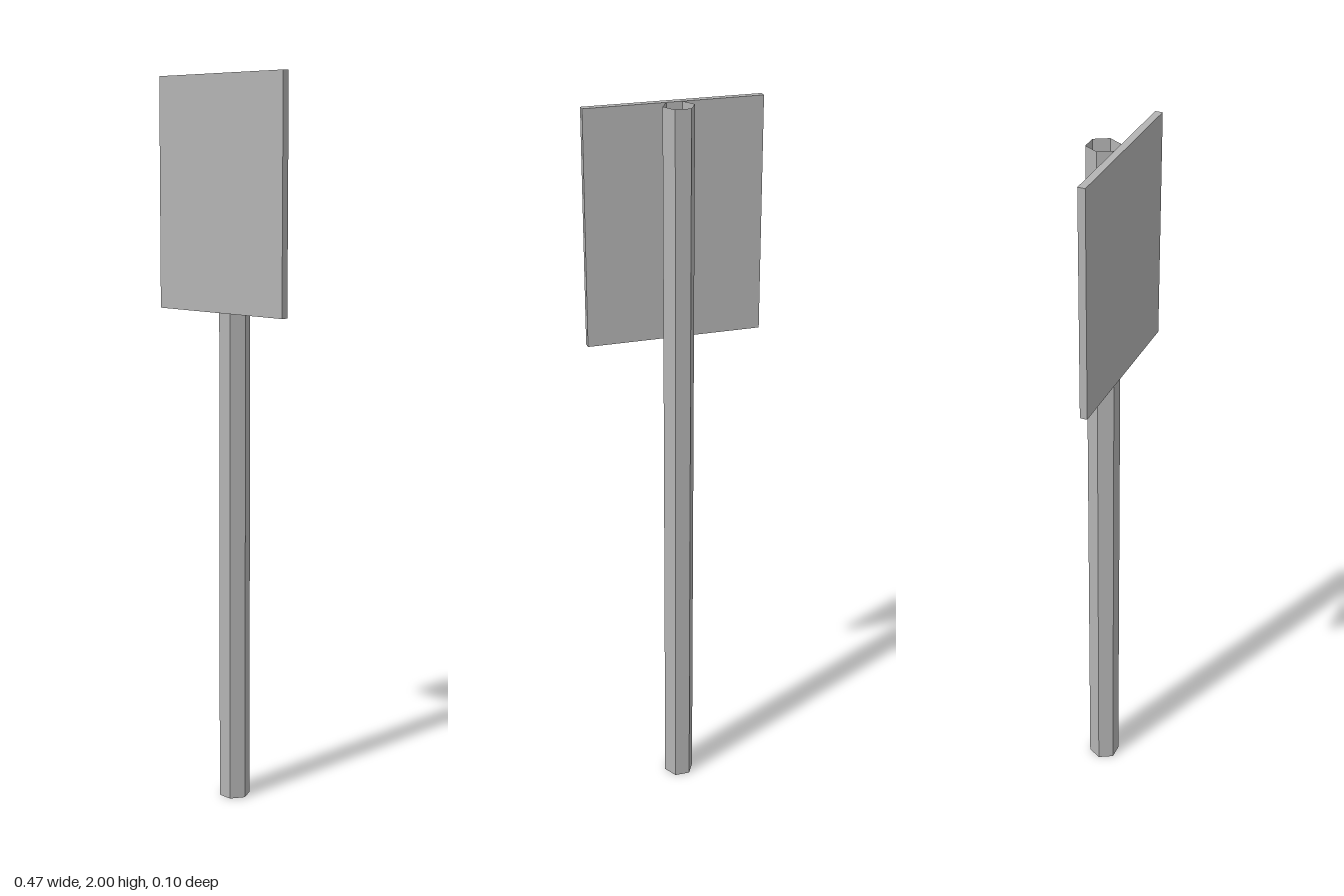
import * as THREE from 'three';

export function createModel() {
  const group = new THREE.Group();
  const grey = new THREE.MeshStandardMaterial({
    name: 'grey metal', color: 0xb4b4b4, flatShading: true, side: THREE.DoubleSide,
  });

  // Open six-sided tube, flat side facing the panel
  const poleGeometry = new THREE.CylinderGeometry(0.042, 0.042, 2, 6, 1, true);
  poleGeometry.rotateY(Math.PI / 6);
  poleGeometry.scale(1, 1, 1.045);
  const pole = new THREE.Mesh(poleGeometry, grey);
  pole.name = 'pole';
  // rotate so that corners point to the sides
  const x = new THREE.Box3().setFromObject(pole).max.x;
  if (x < 0.041) {
    poleGeometry.scale(1, 1, 1 / 1.045).rotateY(Math.PI / 6).scale(1, 1, 1.045);
  }
  pole.position.set(0, 1, -0.01);
  group.add(pole);

  // Flat sign panel fixed to the front of the pole
  const panel = new THREE.Mesh(new THREE.BoxGeometry(0.474, 0.63, 0.02), grey);
  panel.name = 'signPanel';
  panel.position.set(0, 1.685, 0.038);
  group.add(panel);

  return group;
}
